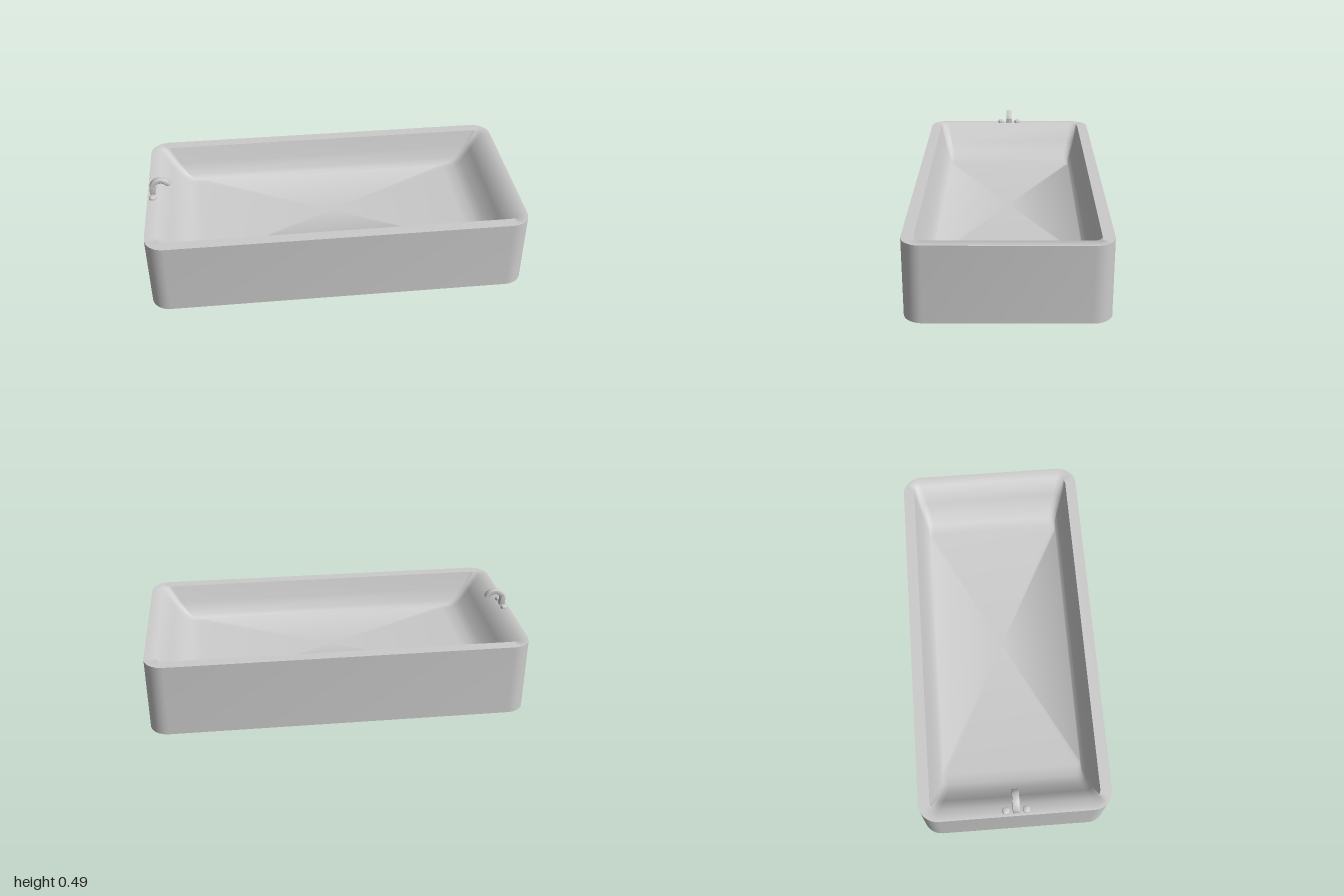
import * as THREE from 'three';
import { toCreasedNormals } from 'three/addons/utils/BufferGeometryUtils.js';

const STEPS = 8; // segments per rounded corner

// Points of a rounded rectangle at height y, running from +x towards +z
function ring({ hx, hz, r, y }) {
  const points = [];
  const corners = [[1, 1], [-1, 1], [-1, -1], [1, -1]];
  corners.forEach(([sx, sz], q) => {
    for (let i = 0; i <= STEPS; i++) {
      const a = (q + i / STEPS) * Math.PI / 2;
      points.push([sx * (hx - r) + r * Math.cos(a), y, sz * (hz - r) + r * Math.sin(a)]);
    }
  });
  return points;
}

// Skin through a list of rings, closed by a fan at both ends
function loft(sections) {
  const rings = sections.map(ring);
  const n = rings[0].length;
  const last = (rings.length - 1) * n;
  const positions = rings.flat(2);
  const index = [];
  const bottom = rings.length * n;
  const floor = bottom + 1;
  positions.push(0, sections[0].y, 0, 0, sections[sections.length - 1].y, 0);
  for (let i = 0; i < n; i++) {
    const j = (i + 1) % n;
    for (let k = 0; k < rings.length - 1; k++) {
      const a = k * n + i, b = k * n + j;
      index.push(a, a + n, b, b, a + n, b + n);
    }
    index.push(bottom, i, j, floor, last + j, last + i);
  }
  const geometry = new THREE.BufferGeometry();
  geometry.setAttribute('position', new THREE.Float32BufferAttribute(positions, 3));
  geometry.setIndex(index);
  return toCreasedNormals(geometry, Math.PI / 3);
}

export function createModel() {
  const model = new THREE.Group();
  const material = new THREE.MeshStandardMaterial({ color: 0xcccccc });
  const add = (name, geometry, parent = model) => {
    const mesh = new THREE.Mesh(geometry, material);
    mesh.name = name;
    parent.add(mesh);
    return mesh;
  };

  // Tub: outer wall, flat rim, sloping basin with gently rounded ends
  add('tub', loft([
    { hx: 1, hz: 0.5, r: 0.1, y: 0 },
    { hx: 1, hz: 0.5, r: 0.1, y: 0.4 },
    { hx: 0.94, hz: 0.44, r: 0.045, y: 0.4 },
    { hx: 0.88, hz: 0.414, r: 0.04, y: 0.31 },
    { hx: 0.825, hz: 0.391, r: 0.035, y: 0.245 },
    { hx: 0.78, hz: 0.376, r: 0.03, y: 0.215 },
    { hx: 0.72, hz: 0.37, r: 0.025, y: 0.205 },
  ]));

  const faucet = new THREE.Group();
  faucet.name = 'faucet';
  model.add(faucet);

  // Spout: flat hooked profile extruded across z
  const hook = new THREE.Shape();
  hook.moveTo(-0.985, 0.395);
  hook.lineTo(-0.987, 0.432);
  hook.absarc(-0.927, 0.432, 0.06, Math.PI, 0.35, true);
  hook.lineTo(-0.894, 0.45);
  hook.absarc(-0.925, 0.435, 0.034, 0.45, Math.PI, false);
  hook.lineTo(-0.955, 0.395);
  hook.closePath();
  const bevel = 0.003, depth = 0.03;
  const spout = new THREE.ExtrudeGeometry(hook, {
    depth, curveSegments: 20, bevelSize: bevel, bevelOffset: -bevel,
    bevelThickness: bevel, bevelSegments: 2,
  });
  spout.translate(0, 0, -depth / 2);
  add('spout', toCreasedNormals(spout, 0.6), faucet);

  // Low round knobs either side of the spout
  const profile = [[0, -0.005], [0.019, -0.005], [0.019, 0.011], [0.018, 0.014], [0.015, 0.016], [0, 0.016]]
    .map(([x, y]) => new THREE.Vector2(x, y));
  const knob = toCreasedNormals(new THREE.LatheGeometry(profile, 24), 0.7);
  for (const [name, z] of [['leftKnob', 0.053], ['rightKnob', -0.053]]) {
    add(name, knob, faucet).position.set(-0.97, 0.4, z);
  }

  return model;
}
